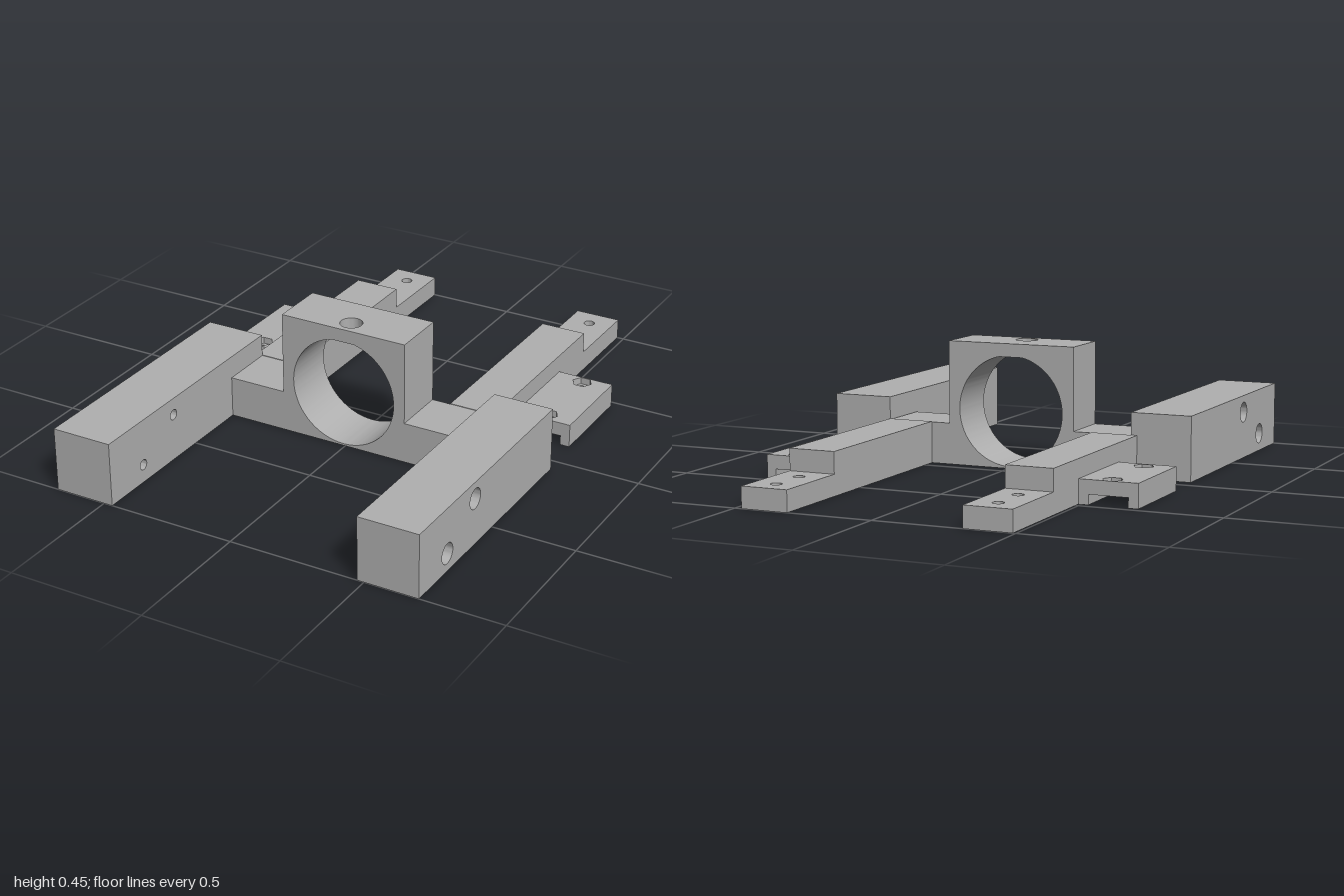
import * as THREE from 'three';
import { toCreasedNormals } from 'three/addons/utils/BufferGeometryUtils.js';

const grey = new THREE.MeshStandardMaterial({ color: 0xb0b0b0 });
grey.name = 'grey plastic';

// Closed ring of n points, used for round (many sides) and hexagonal holes
function ring({ u, v, r, n = 32 }) {
  return Array.from({ length: n }, (_, i) => {
    const a = (i / n) * Math.PI * 2;
    return new THREE.Vector2(u + r * Math.cos(a), v + r * Math.sin(a));
  });
}

function extrude(shape, depth) {
  return new THREE.ExtrudeGeometry(shape, { depth, bevelEnabled: false, curveSegments: 72 });
}

function drilledRect(u0, u1, v0, v1, holes) {
  const shape = new THREE.Shape([[u0, v0], [u1, v0], [u1, v1], [u0, v1]].map(p => new THREE.Vector2(...p)));
  for (const h of holes) shape.holes.push(new THREE.Path(ring(h)));
  return shape;
}

// Plate drilled along y; holes are given as { x, z, r, n }
function plateY([x0, x1], [y0, y1], [z0, z1], holes) {
  const cut = holes.map(h => ({ ...h, u: h.x, v: -h.z }));
  return extrude(drilledRect(x0, x1, -z1, -z0, cut), y1 - y0).rotateX(-Math.PI / 2).translate(0, y0, 0);
}

// Plate drilled along x; holes are given as { z, y, r }
function plateX([x0, x1], [y0, y1], [z0, z1], holes) {
  const cut = holes.map(h => ({ ...h, u: -h.z, v: h.y }));
  return extrude(drilledRect(-z1, -z0, y0, y1, cut), x1 - x0).rotateY(Math.PI / 2).translate(x0, 0, 0);
}

function box([x0, x1], [y0, y1], [z0, z1]) {
  return new THREE.BoxGeometry(x1 - x0, y1 - y0, z1 - z0)
    .translate((x0 + x1) / 2, (y0 + y1) / 2, (z0 + z1) / 2);
}

export function createModel() {
  const model = new THREE.Group();
  model.name = 'mountFrame';

  const part = (name, ...geometries) => {
    const group = new THREE.Group();
    group.name = name;
    for (const g of geometries) {
      const mesh = new THREE.Mesh(toCreasedNormals(g, 0.5), grey);
      mesh.name = name;
      group.add(mesh);
    }
    model.add(group);
  };

  // Crossbar with the raised clamp block, bored along z
  const cx = -0.007, cy = 0.207, r = 0.2, top = 0.402, z0 = 0.055, z1 = 0.26;
  const a = Math.asin((top - cy) / r);
  const body = new THREE.Shape();
  body.moveTo(-0.47, 0);
  body.lineTo(0.47, 0);
  body.lineTo(0.47, 0.15);
  body.lineTo(0.235, 0.15);
  body.lineTo(0.235, top);
  body.absarc(cx, cy, r, a, -Math.PI - a, true);
  body.lineTo(-0.25, top);
  body.lineTo(-0.25, 0.15);
  body.lineTo(-0.47, 0.15);
  part('crossbar', extrude(body, z1 - z0).translate(0, 0, z0));

  // Top of the clamp block with its screw hole
  part('clampTop', plateY([-0.25, 0.235], [top, 0.45], [z0, z1], [{ x: cx, z: 0.2, r: 0.04 }]));

  const sides = [
    { side: 'left', arm: [0.475, 0.697], rail: [0.305, 0.475], tab: [0.475, 0.685], outer: 1 },
    { side: 'right', arm: [-0.69, -0.467], rail: [-0.49, -0.32], tab: [-0.7, -0.49], outer: -1 },
  ];

  for (const { side, arm, rail, tab, outer } of sides) {
    // Front arm: wide bores on the outside, narrow ones inside
    const split = outer > 0 ? arm[1] - 0.1 : arm[0] + 0.1;
    const bores = rad => [{ z: 0.813, y: 0.065, r: rad }, { z: 0.625, y: 0.17, r: rad }];
    const [low, high] = outer > 0 ? [0.019, 0.037] : [0.037, 0.019];
    part(`${side}FrontArm`,
      plateX([arm[0], split], [0, 0.232], [z0, 1], bores(low)),
      plateX([split, arm[1]], [0, 0.232], [z0, 1], bores(high)));

    // Rear rail and its stepped end, counterbored from below
    const rx = (rail[0] + rail[1]) / 2;
    const screws = rad => [-0.92, -0.77].map(z => ({ x: rx, z, r: rad }));
    part(`${side}RearRail`, box(rail, [0, 0.152], [-0.683, z0]));
    part(`${side}RailEnd`,
      plateY(rail, [0, 0.037], [-1, -0.683], screws(0.037)),
      plateY(rail, [0.037, 0.075], [-1, -0.683], screws(0.02)));

    // Side tab: plate with hexagonal nut pockets over a channel between two lips
    const tx = (tab[0] + tab[1]) / 2 + outer * 0.002;
    const nuts = (rad, n) => [-0.44, -0.157].map(z => ({ x: tx, z, r: rad, n }));
    const tz = [-0.475, -0.118];
    part(`${side}SideTab`,
      plateY(tab, [0.035, 0.06], tz, nuts(0.02, 32)),
      plateY(tab, [0.06, 0.085], tz, nuts(0.036, 6)),
      box([tab[0], tab[0] + 0.035], [0, 0.035], tz),
      box([tab[1] - 0.035, tab[1]], [0, 0.035], tz));
  }
  return model;
}
